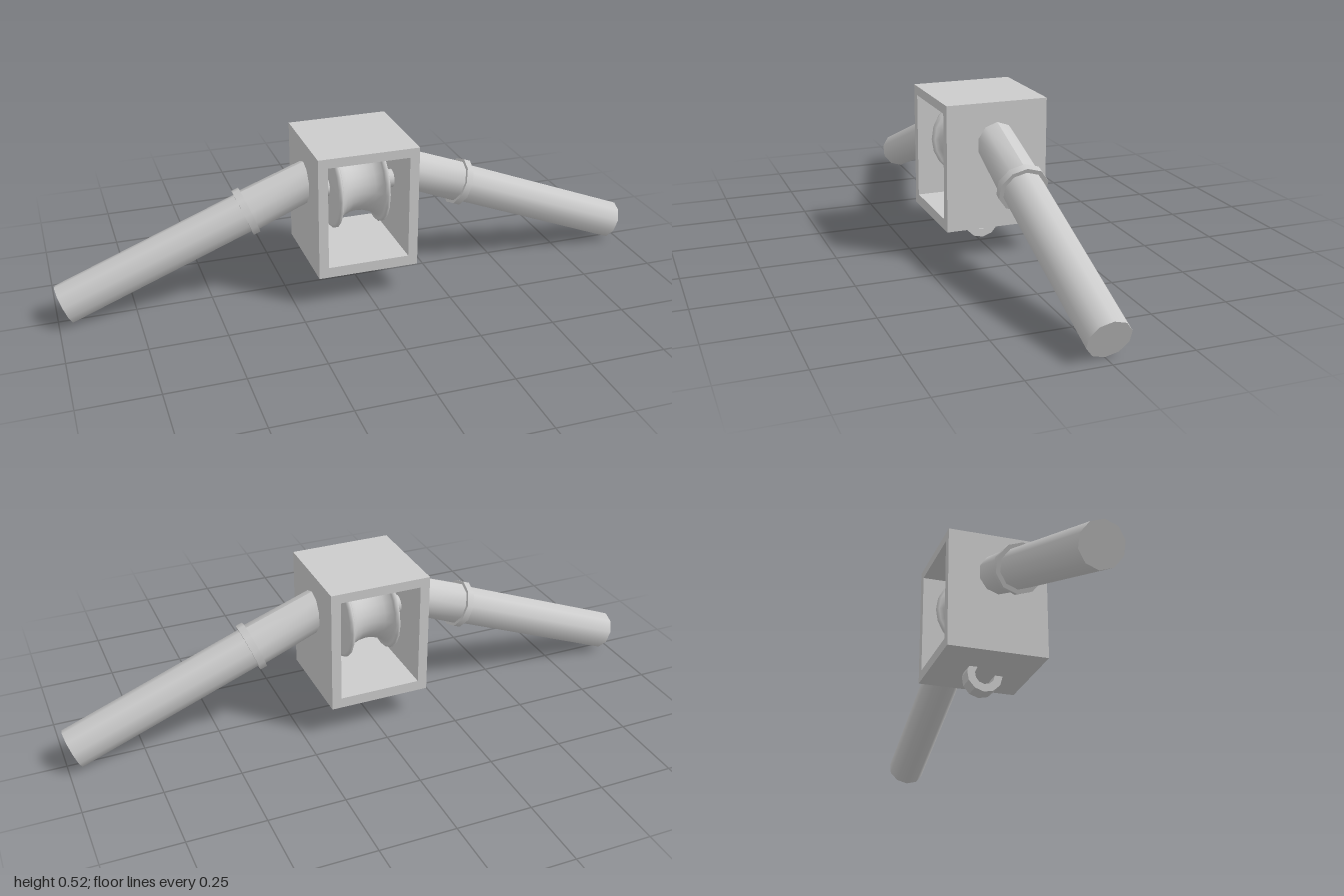
import * as THREE from 'three';

const CX = -0.008;               // centre line of the housing
const SLOPE = 0.374;             // droop angle of the arms
const END = [0.976, 0.064];      // centre of an arm's outer end

function createMesh(name, geometry, parent) {
  const mesh = new THREE.Mesh(geometry, new THREE.MeshStandardMaterial({ color: 0xcccccc }));
  mesh.name = name;
  parent.add(mesh);
  return mesh;
}

// Ten-sided rod along the +x axis, from x = a to x = b
function rod(r0, r1, a, b, sides = 10) {
  const g = new THREE.CylinderGeometry(r0, r1, b - a, sides, 1, false, Math.PI / 2);
  g.rotateZ(Math.PI / 2);
  return g.translate((a + b) / 2, 0, 0);
}

function rectangle(Type, x0, y0, x1, y1) {
  return new Type([[x0, y0], [x1, y0], [x1, y1], [x0, y1]].map(p => new THREE.Vector2(...p)));
}

// Arm sloping down and outward; wallX is where it is cut off inside the housing wall
function createArm(name, side, wallX) {
  const arm = new THREE.Group();
  arm.name = name;
  const length = (END[0] - wallX) / Math.cos(SLOPE);
  const ringAt = (0.373 - wallX) / Math.cos(SLOPE);

  // Slightly tapered sleeve, its inner end sheared to lie flush with the wall
  const sleeve = rod(0.0665, 0.071, 0, ringAt);
  sleeve.scale(-1, 1, 1).rotateY(Math.PI).rotateX(0);
  const p = sleeve.attributes.position;
  for (let i = 0; i < p.count; i++) {
    if (p.getX(i) < 0.001) p.setX(i, p.getY(i) * Math.tan(SLOPE) * -1);
  }
  // Undo the reversal of the triangle order caused by mirroring
  const index = sleeve.index;
  for (let i = 0; i < index.count; i += 3) {
    const a = index.getX(i);
    index.setX(i, index.getX(i + 1));
    index.setX(i + 1, a);
  }
  sleeve.computeVertexNormals();
  createMesh('armSleeve', sleeve, arm);
  createMesh('armTube', rod(0.0665, 0.0665, ringAt, length), arm);
  createMesh('armCollar', rod(0.081, 0.081, ringAt - 0.012, ringAt + 0.012), arm);

  // Built for the +x side, turned half round about y for the other
  arm.rotation.z = -SLOPE;
  arm.position.set(wallX, END[1] + (END[0] - wallX) * Math.tan(SLOPE), 0);
  const pivot = new THREE.Group();
  pivot.name = name + 'Pivot';
  pivot.rotation.y = side > 0 ? 0 : Math.PI;
  pivot.add(arm);
  return pivot;
}

export function createModel() {
  const model = new THREE.Group();
  model.name = 'pulleyBlock';

  // Open box housing
  const outline = rectangle(THREE.Shape, CX - 0.169, 0.104, CX + 0.169, 0.521);
  outline.holes.push(rectangle(THREE.Path, CX - 0.137, 0.139, CX + 0.137, 0.49));
  const housing = new THREE.ExtrudeGeometry(outline, { depth: 0.34, bevelEnabled: false });
  createMesh('housing', housing.translate(0, 0, -0.17), model);

  // Axle and grooved wheel
  const axle = createMesh('axle', rod(0.031, 0.031, -0.14, 0.14, 16), model);
  axle.position.set(CX, 0.348, 0);

  const half = [[0.088, 0.031], [0.088, 0.128], [0.084, 0.138], [0.076, 0.138], [0.071, 0.13],
    [0.07, 0.116], [0.048, 0.101], [0.025, 0.093]];
  const profile = [...half.map(([x, r]) => [-x, r]), [0, 0.09], ...half.slice().reverse()];
  const wheelGeometry = new THREE.LatheGeometry(
    profile.map(([x, r]) => new THREE.Vector2(r, x)), 20);
  const wheel = createMesh('wheel', wheelGeometry.rotateZ(-Math.PI / 2), model);
  wheel.position.set(CX, 0.348, 0);

  // Arms on both sides
  model.add(createArm('leftArm', 1, 0.144), createArm('rightArm', -1, 0.16));

  // Hook below: a faceted open curl, drawn with its tip toward +z
  const hookShape = new THREE.Shape();
  const R = 0.061, r = 0.034, cy = 0.081, steps = 8;
  const start = Math.PI * 0.62, sweep = Math.PI * 1.38;
  const point = (radius, i) => {
    const a = start + sweep * i / steps;
    return [radius * Math.cos(a), cy + radius * Math.sin(a)];
  };
  hookShape.moveTo(...point(R, 0));
  for (let i = 1; i <= steps; i++) hookShape.lineTo(...point(R, i));
  for (let i = steps; i >= 0; i--) {
    const [u, v] = point(r, i);
    hookShape.lineTo(u, v);
  }
  const hook = new THREE.ExtrudeGeometry(hookShape, { depth: 0.06, bevelEnabled: false });
  hook.translate(0, 0, -0.03).rotateY(-Math.PI / 2);
  createMesh('hook', hook, model).position.x = CX;

  return model;
}
